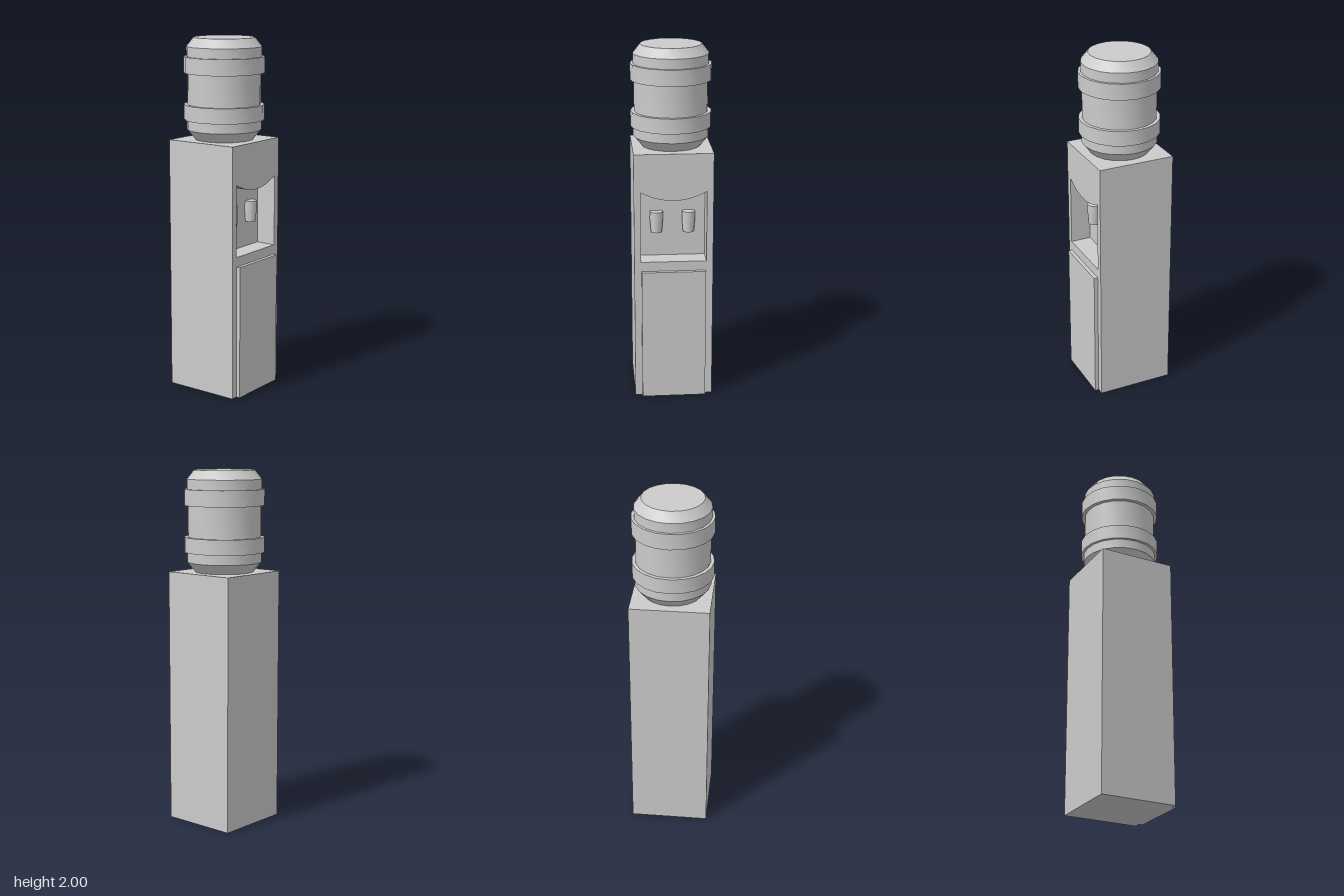
import * as THREE from 'three';
import { toCreasedNormals } from 'three/addons/utils/BufferGeometryUtils.js';

const BACK = -0.228, FRONT = 0.21, RECESS = 0.093; // z planes of the cabinet
const HEIGHT = 1.435;

export function createModel() {
  const model = new THREE.Group();
  model.name = 'waterCooler';
  const material = new THREE.MeshStandardMaterial({ color: 0xcccccc });

  const add = (name, geometry, x = 0, y = 0, z = 0) => {
    const mesh = new THREE.Mesh(geometry, material);
    mesh.name = name;
    mesh.position.set(x, y, z);
    model.add(mesh);
    return mesh;
  };
  const turned = (profile, sides) => toCreasedNormals(
    new THREE.LatheGeometry(profile.map(([r, y]) => new THREE.Vector2(r, y)), sides), 0.5);

  // Cabinet: solid rear block plus a front block with the dispensing recess cut through
  add('cabinetRear', new THREE.BoxGeometry(0.44, HEIGHT, RECESS - BACK),
    0, HEIGHT / 2, (RECESS + BACK) / 2);

  const face = new THREE.Shape();
  face.moveTo(-0.22, 0);
  face.lineTo(0.22, 0);
  face.lineTo(0.22, HEIGHT);
  face.lineTo(-0.22, HEIGHT);
  face.closePath();
  const recess = new THREE.Path();
  recess.moveTo(-0.183, 0.815);
  recess.lineTo(-0.183, 1.22);
  recess.quadraticCurveTo(0, 1.12, 0.183, 1.22);
  recess.lineTo(0.183, 0.815);
  recess.closePath();
  face.holes.push(recess);
  add('cabinetFront', toCreasedNormals(new THREE.ExtrudeGeometry(face, {
    depth: FRONT - RECESS, bevelEnabled: false, curveSegments: 12,
  }), 0.5), 0, 0, RECESS);

  // Raised door on the lower front
  add('door', new THREE.BoxGeometry(0.36, 0.76, 0.022), 0, 0.38, FRONT + 0.011);

  // Pair of tapered taps against the recess wall
  const tap = turned([[0, 0.96], [0.031, 0.96], [0.0375, 1.04], [0.036, 1.08], [0, 1.08]], 16);
  for (const [name, x] of [['rightTap', -0.09], ['leftTap', 0.09]]) add(name, tap, x, 0, 0.108);

  // Bottle: bevelled ends, two raised bands and a slightly slimmer waist
  add('bottle', turned([
    [0, HEIGHT], [0.165, HEIGHT], [0.21, 1.49],
    [0.21, 1.545], [0.225, 1.545], [0.225, 1.63], [0.205, 1.63],
    [0.205, 1.805], [0.225, 1.805], [0.225, 1.895], [0.21, 1.895],
    [0.21, 1.95], [0.17, 2], [0, 2],
  ], 20), 0, 0, -0.01);

  return model;
}
